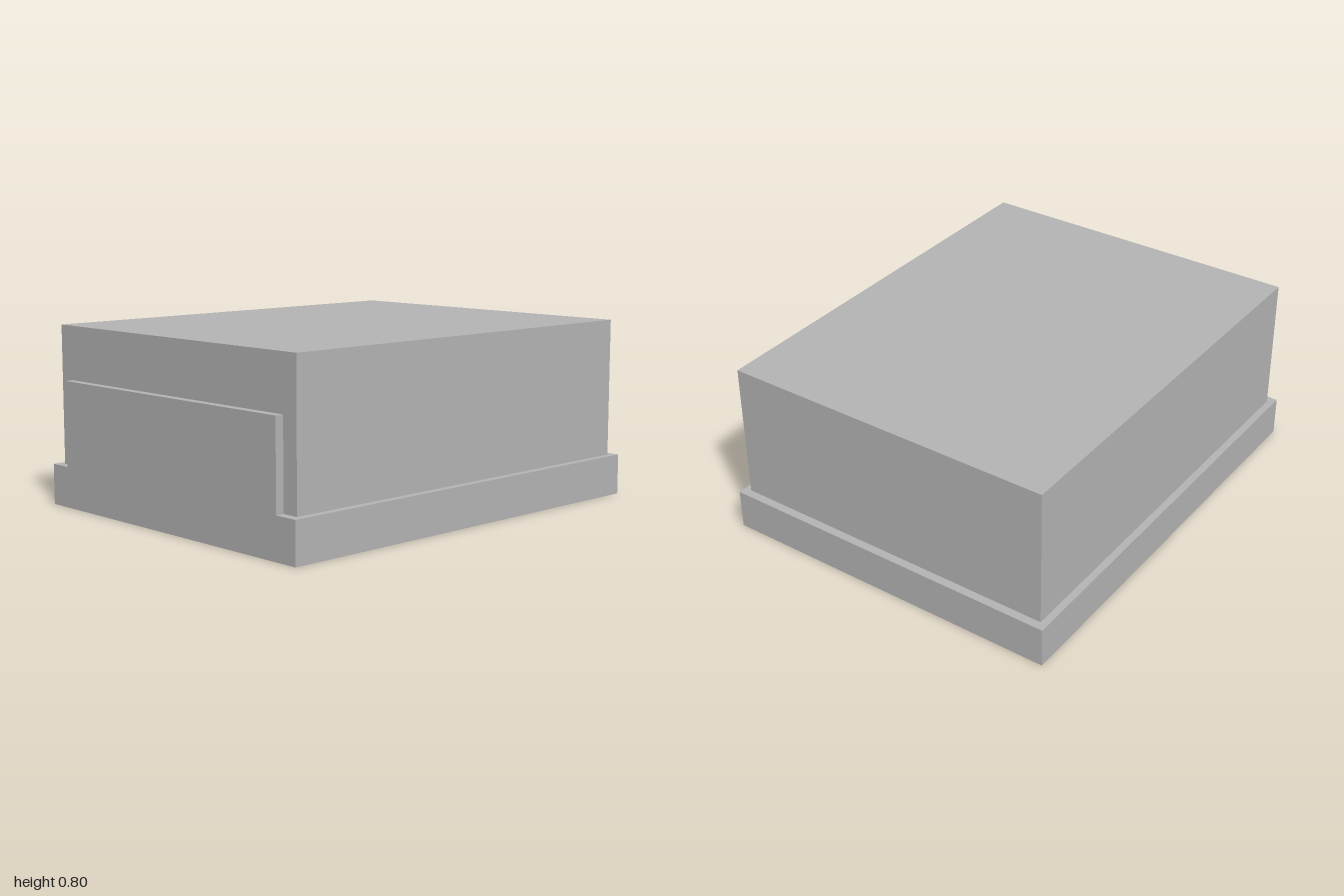
import * as THREE from 'three';

export function createModel() {
  const model = new THREE.Group();
  model.name = 'steppedBlock';
  const grey = new THREE.MeshStandardMaterial({ color: 0xb3b3b3 });
  grey.name = 'grey';

  // Box given by its width, its y range and its z range, centred on x = 0
  const block = (name, width, y0, y1, z0, z1) => {
    const geometry = new THREE.BoxGeometry(width, y1 - y0, z1 - z0);
    geometry.translate(0, (y0 + y1) / 2, (z0 + z1) / 2);
    const mesh = new THREE.Mesh(geometry, grey);
    mesh.name = name;
    model.add(mesh);
  };

  const plinthTop = 0.182, bodyFront = 0.962;

  // Main body standing on the plinth
  block('body', 1.53, plinthTop, 0.802, -bodyFront, bodyFront);

  // Wider plinth all round
  block('plinth', 1.596, 0, plinthTop, -1, 1);

  // Raised front panel, flush with the plinth's front
  block('frontPanel', 1.38, plinthTop, 0.563, bodyFront, 1);

  return model;
}
